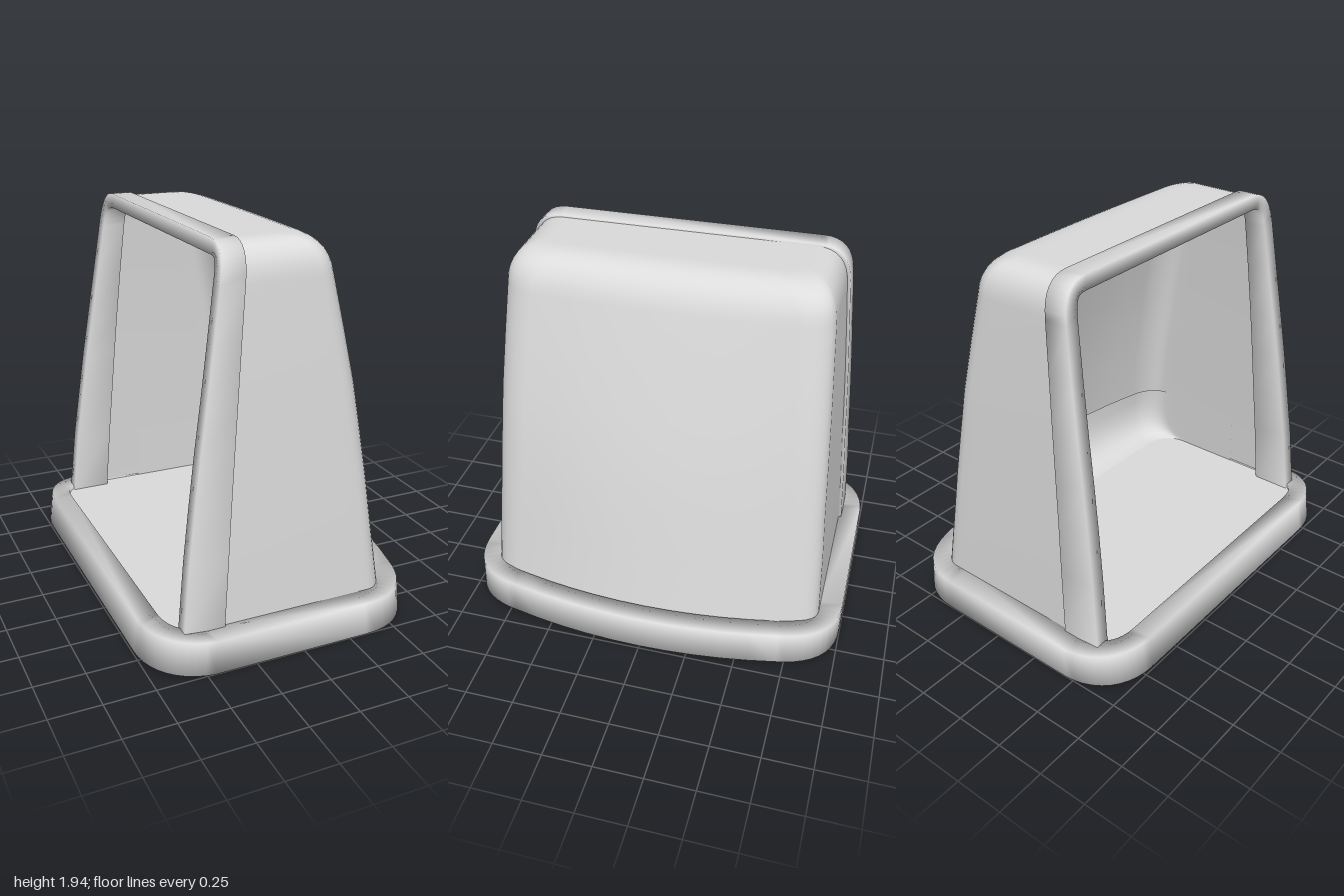
import * as THREE from 'three';

// Smooth surface through rows of points [x, y, z]
function loft(rows, closeAcross, closeAlong) {
  const n = rows[0].length, m = rows.length, index = [];
  for (let i = 0; i < (closeAlong ? m : m - 1); i++) {
    for (let j = 0; j < (closeAcross ? n : n - 1); j++) {
      const a = i * n + j, b = i * n + (j + 1) % n;
      const c = ((i + 1) % m) * n + j, d = ((i + 1) % m) * n + (j + 1) % n;
      index.push(a, b, d, a, d, c);
    }
  }
  const g = new THREE.BufferGeometry();
  g.setAttribute('position', new THREE.Float32BufferAttribute(rows.flat(2), 3));
  g.setIndex(index);
  g.computeVertexNormals();
  return g;
}

// Linear lookup of column k in a table whose first column is the height
function lerpTable(table, y, k = 1) {
  let i = 1;
  while (i < table.length - 1 && y > table[i][0]) i++;
  const a = table[i - 1], b = table[i];
  return a[k] + (b[k] - a[k]) * (y - a[0]) / (b[0] - a[0]);
}
const quad = (a, b, c, t) => a * (1 - t) * (1 - t) + 2 * b * t * (1 - t) + c * t * t;

const trimBack = [[0.15, -0.575], [0.5, -0.54], [0.95, -0.48], [1.4, -0.41], [1.94, -0.33]];
const trimFront = [[0.15, -0.37], [0.5, -0.345], [0.95, -0.31], [1.4, -0.272], [1.94, -0.22]];

// Hood levels: height, half width, front reach, corner depth, bow of the front
const levels = [
  [0.15, 0.886, 0.628, 0.12, 0.09], [0.5, 0.872, 0.566, 0.12, 0.08],
  [0.75, 0.858, 0.523, 0.12, 0.07], [1.0, 0.846, 0.473, 0.12, 0.06],
  [1.23, 0.834, 0.42, 0.12, 0.045], [1.5, 0.817, 0.354, 0.12, 0.035], [1.75, 0.8, 0.29, 0.12, 0.025],
];
for (let k = 1; k <= 8; k++) {
  const t = k / 8;
  levels.push([quad(1.75, 1.93, 1.93, t), quad(0.8, 0.79, 0.64, t), quad(0.29, 0.245, 0.08, t),
    0.12 - 0.05 * t, 0.025 * (1 - t)]);
}

// U-shaped cross-section, open towards -x, with rounded corners and a bowed front
function section(xb, [y, w, xf, r, bow]) {
  const xc = xf - bow - r, xe = xf - bow, ze = Math.max(w - 0.16, 0), zm = ze + (w - ze) * 0.45;
  const p = new THREE.Path();
  p.moveTo(xb, w);
  p.lineTo(xc - 0.06, w);
  p.lineTo(xc, w);
  p.bezierCurveTo(xc + r * 0.6, w, xe - bow * 0.15, zm, xe, ze);
  p.bezierCurveTo(xe + bow * 1.333, ze / 3, xe + bow * 1.333, -ze / 3, xe, -ze);
  p.bezierCurveTo(xe - bow * 0.15, -zm, xc + r * 0.6, -w, xc, -w);
  p.lineTo(xc - 0.06, -w);
  p.lineTo(xb, -w);
  // Sampled curve by curve so every level has the same count
  const pts = [p.curves[0].getPoint(0)];
  for (const c of p.curves) {
    const n = c.isLineCurve ? 1 : 8;
    for (let k = 1; k <= n; k++) pts.push(c.getPoint(k / n));
  }
  return pts.map((q) => [q.x, y, q.y]);
}

function hoodGeometry() {
  const caps = [[1.93, 0.61, 0.05, 0.06, 0], [1.93, 0, 0.03, 0.02, 0]];
  return loft([...levels, ...caps].map((level) =>
    section((lerpTable(trimBack, level[0]) + lerpTable(trimFront, level[0])) / 2, level)), false, false);
}

// Inner cove from the front wall down to the floor
function coveGeometry() {
  const rows = [];
  for (let k = 8; k >= 0; k--) {
    const t = k / 8, y = quad(0.16, 0.17, 0.48, t);
    const inset = quad(0.3, 0.05, 0.008, t);
    rows.push(section(-0.15, [y, lerpTable(levels, y) - 0.008, lerpTable(levels, y, 2) - inset,
      0.15, 0.08 * t]));
  }
  return loft(rows, false, false);
}

// Arched trim round the opening: a four-cornered section swept up, over and down
function trimGeometry() {
  const half = levels.map(([y, w]) => new THREE.Vector2(w + 0.015, y + 0.011));
  const arch = [...half, ...half.slice().reverse().map((p) => new THREE.Vector2(-p.x, p.y))];
  const rows = arch.map((p, i) => {
    const a = arch[Math.max(i - 1, 0)], b = arch[Math.min(i + 1, arch.length - 1)];
    const t = b.clone().sub(a).normalize();
    const inZ = p.x - t.y * 0.075, inY = p.y + t.x * 0.075;
    const xb = lerpTable(trimBack, p.y), xf = lerpTable(trimFront, p.y);
    return [[xb, p.y, p.x], [xf, p.y, p.x], [xf, inY, inZ], [xb, inY, inZ]];
  });
  return loft(rows, true, false);
}

// Centre line of the base ring in x and z, bowed on the +x side
function baseOutline() {
  const s = new THREE.Shape();
  s.moveTo(-0.692, 0.7);
  s.bezierCurveTo(-0.692, 0.85, -0.6, 0.94, -0.46, 0.94);
  s.lineTo(0.34, 0.94);
  s.bezierCurveTo(0.51, 0.94, 0.58, 0.85, 0.61, 0.7);
  s.bezierCurveTo(0.72, 0.24, 0.72, -0.24, 0.61, -0.7);
  s.bezierCurveTo(0.58, -0.85, 0.51, -0.94, 0.34, -0.94);
  s.lineTo(-0.46, -0.94);
  s.bezierCurveTo(-0.6, -0.94, -0.692, -0.85, -0.692, -0.7);
  s.lineTo(-0.692, 0.7);
  return s;
}

function ringGeometry(outline) {
  const pts = outline.getPoints(10).slice(0, -1), n = pts.length;
  const rows = pts.map((p, i) => {
    const t = pts[(i + 1) % n].clone().sub(pts[(i + n - 1) % n]).normalize();
    // The two ends sit slightly higher than the sides
    const lift = 0.02 * Math.max(Math.abs(p.x) - 0.46, 0) / 0.23;
    const corner = (side, y, scale) =>
      [(p.x - t.y * 0.06 * side) * scale, y + lift, p.y + t.x * 0.06 * side];
    return [corner(1, 0.17, 0.972), corner(1, 0, 1), corner(-1, 0, 1), corner(-1, 0.17, 0.995)];
  });
  return loft(rows, true, true);
}

export function createModel() {
  const grey = new THREE.MeshStandardMaterial({ color: 0xdcdcdc, side: THREE.DoubleSide });
  grey.name = 'lightGrey';
  const model = new THREE.Group();
  model.name = 'openHood';
  const add = (name, geometry) => {
    const mesh = new THREE.Mesh(geometry, grey);
    mesh.name = name;
    model.add(mesh);
    return mesh;
  };
  const outline = baseOutline();
  add('hoodShell', hoodGeometry());
  add('innerCove', coveGeometry());
  add('openingTrim', trimGeometry());
  add('baseRing', ringGeometry(outline));
  // Floor set just under the top of the ring
  const floor = add('floor', new THREE.ShapeGeometry(outline, 10).rotateX(Math.PI / 2));
  floor.position.y = 0.165;
  return model;
}
